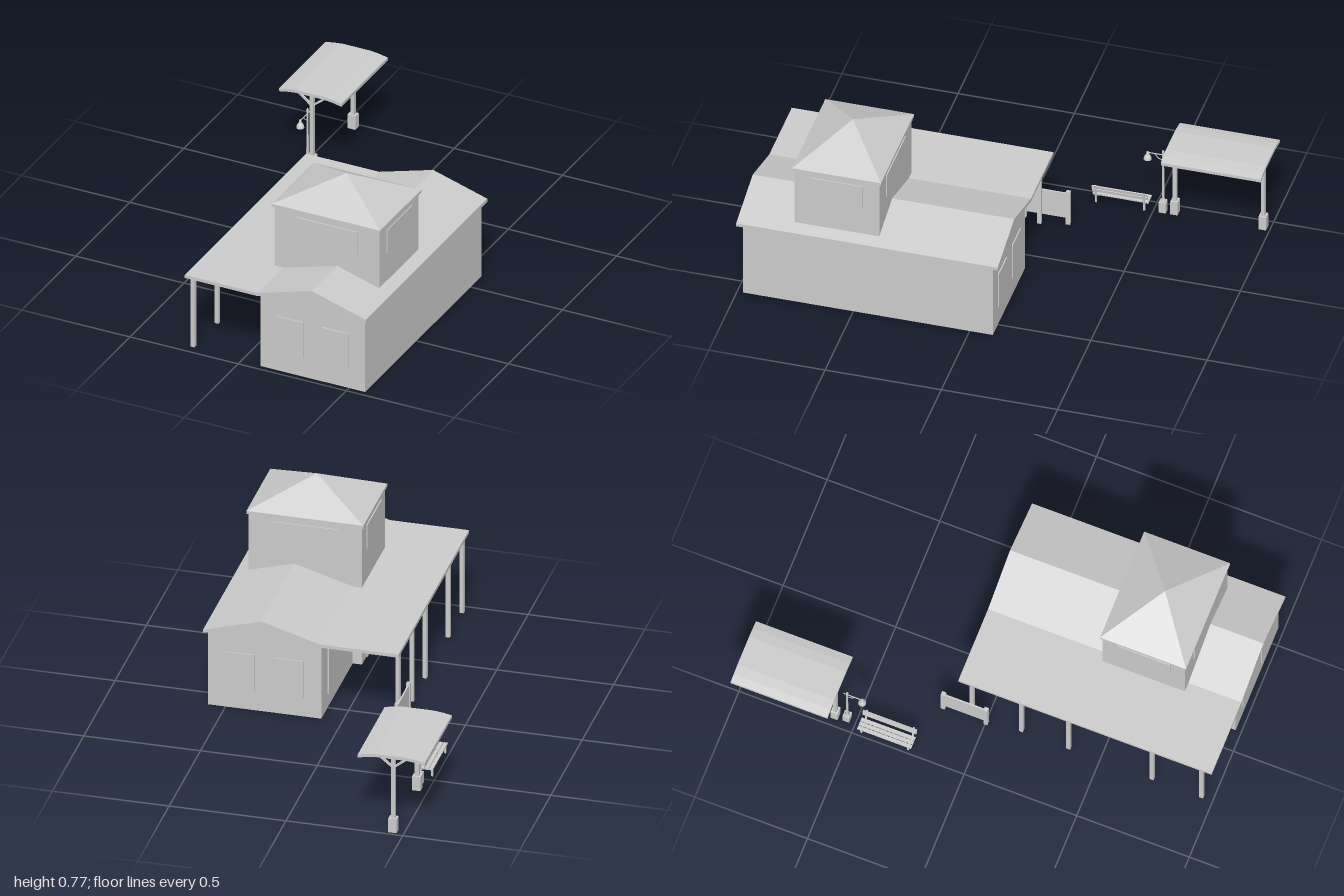
import * as THREE from 'three';

const mat = new THREE.MeshStandardMaterial({ color: 0xcccccc, flatShading: true });
const smooth = new THREE.MeshStandardMaterial({ color: 0xcccccc, side: THREE.DoubleSide });

function add(parent, name, geometry, material = mat) {
  const mesh = new THREE.Mesh(geometry, material);
  mesh.name = name;
  parent.add(mesh);
  return mesh;
}

// Box given by its minimum and maximum on each axis
function box(parent, name, x0, x1, y0, y1, z0, z1) {
  const mesh = add(parent, name, new THREE.BoxGeometry(x1 - x0, y1 - y0, z1 - z0));
  mesh.position.set((x0 + x1) / 2, (y0 + y1) / 2, (z0 + z1) / 2);
  return mesh;
}

// Outline in x and y, extruded from z0 to z1
function prism(parent, name, points, z0, z1) {
  const shape = new THREE.Shape(points.map(([x, y]) => new THREE.Vector2(x, y)));
  const geometry = new THREE.ExtrudeGeometry(shape, { depth: z1 - z0, bevelEnabled: false });
  return add(parent, name, geometry.translate(0, 0, z0));
}

// Sheet of constant thickness following a line of top points
function sheet(parent, name, top, thickness, z0, z1) {
  const under = top.map(([x, y]) => [x, y - thickness]).reverse();
  return prism(parent, name, [...under.reverse(), ...top.slice().reverse()], z0, z1);
}

function rod(parent, name, points, radius) {
  const curve = new THREE.CatmullRomCurve3(points.map(p => new THREE.Vector3(...p)));
  return add(parent, name, new THREE.TubeGeometry(curve, 12, radius, 6), smooth);
}

function group(parent, name) {
  const g = new THREE.Group();
  g.name = name;
  parent.add(g);
  return g;
}

function buildStation(root) {
  const g = group(root, 'station');
  const d = 0.005;

  // Gabled hall
  prism(g, 'hallWalls', [[0.09, 0], [0.575, 0], [0.575, 0.35], [0.34, 0.42], [0.09, 0.348]], -0.1, 0.975);
  sheet(g, 'hallRoof', [[-0.247, 0.361], [0.09, 0.361], [0.34, 0.434], [0.59, 0.361]], 0.015, -0.125, 1.0);

  // Gable windows, front and back
  for (const [x0, x1] of [[0.165, 0.29], [0.375, 0.5]]) {
    box(g, 'frontWindow', x0, x1, 0.09, 0.26, 0.97, 0.975 + d);
    box(g, 'backWindow', x0, x1, 0.09, 0.26, -0.1 - d, -0.095);
  }
  box(g, 'sideWindow', 0.09 - d, 0.1, 0.065, 0.28, 0.0, 0.27);

  // Tower, which steps out from the hall under the veranda
  box(g, 'towerWalls', 0.05, 0.535, 0, 0.643, 0.4, 0.765);
  box(g, 'towerDoor', 0.05 - d, 0.06, 0, 0.29, 0.47, 0.7);
  box(g, 'towerWindowFront', 0.15, 0.435, 0.51, 0.62, 0.76, 0.765 + d);
  box(g, 'towerWindowBack', 0.15, 0.435, 0.51, 0.62, 0.4 - d, 0.405);
  box(g, 'towerWindowRight', 0.05 - d, 0.055, 0.51, 0.62, 0.47, 0.7);
  box(g, 'towerWindowLeft', 0.53, 0.535 + d, 0.51, 0.62, 0.47, 0.7);

  // Tower roof
  box(g, 'towerEaves', 0.042, 0.543, 0.643, 0.657, 0.391, 0.773);
  const pyramid = new THREE.ConeGeometry(Math.SQRT1_2, 1, 4).rotateY(Math.PI / 4);
  const roof = add(g, 'towerRoof', pyramid.scale(0.501, 0.113, 0.382));
  roof.position.set(0.2925, 0.7135, 0.582);

  // Veranda posts
  for (const z of [-0.07, 0.15, 0.36, 0.73, 0.95]) {
    box(g, 'verandaPost', -0.24, -0.222, 0, 0.35, z - 0.009, z + 0.009);
  }
}

function buildNoticeBoard(root) {
  const g = group(root, 'noticeBoard');
  for (const z of [-0.187, 0.002]) {
    box(g, 'boardPost', -0.265, -0.248, 0, 0.165, z - 0.009, z + 0.009);
  }
  box(g, 'boardPanel', -0.26, -0.253, 0.03, 0.155, -0.18, -0.005);
}

function buildShelter(root) {
  const g = group(root, 'platformShelter');
  const cx = -0.452;

  // Shallow arched roof
  const top = [[-0.595, 0.355], [-0.56, 0.362], [-0.517, 0.367], [-0.385, 0.367], [-0.343, 0.362], [-0.307, 0.354]];
  sheet(g, 'shelterRoof', top, 0.014, -1.0, -0.57);

  for (const z of [-0.59, -0.97]) {
    box(g, 'shelterPost', cx - 0.009, cx + 0.009, 0, 0.354, z - 0.008, z + 0.008);
    box(g, 'shelterFooting', cx - 0.018, cx + 0.018, 0, 0.065, z - 0.016, z + 0.016);
    for (const side of [-1, 1]) {
      const brace = add(g, 'shelterBrace', new THREE.BoxGeometry(0.085, 0.008, 0.01));
      brace.position.set(cx + side * 0.035, 0.327, z);
      brace.rotation.z = side * 0.68;
    }
  }
}

function buildLamp(root) {
  const g = group(root, 'streetLamp');
  const x = -0.448, z = -0.54;
  box(g, 'lampBase', x - 0.015, x + 0.015, 0, 0.052, z - 0.015, z + 0.015);

  // Turned pole with a small finial
  const profile = [[0.012, 0.05], [0.011, 0.06], [0.006, 0.068], [0.005, 0.18], [0.004, 0.29], [0.006, 0.298], [0.005, 0.308], [0, 0.315]];
  const pole = add(g, 'lampPole', new THREE.LatheGeometry(profile.map(p => new THREE.Vector2(...p)), 10), smooth);
  pole.position.set(x, 0, z);

  // Arm with scroll, carrying the shade
  rod(g, 'lampArm', [[x, 0.288, z - 0.016], [x, 0.288, z + 0.03], [x, 0.288, z + 0.07]], 0.0025);
  rod(g, 'lampScroll', [[x, 0.262, z], [x, 0.268, z + 0.02], [x, 0.286, z + 0.035]], 0.002);
  const bell = [[0.017, 0.255], [0.016, 0.264], [0.011, 0.274], [0.006, 0.28], [0.005, 0.292], [0, 0.294]];
  const shade = add(g, 'lampShade', new THREE.LatheGeometry(bell.map(p => new THREE.Vector2(...p)), 16), smooth);
  shade.position.set(x, 0, -0.473);
}

function buildBench(root) {
  const g = group(root, 'bench');

  // Seat slats
  for (let i = 0; i < 3; i++) {
    const x = -0.489 + i * 0.019;
    box(g, 'seatSlat', x, x + 0.016, 0.035, 0.041, -0.48, -0.24);
  }
  // Leaning back slats
  for (const [x, y] of [[-0.426, 0.066], [-0.422, 0.084]]) {
    const slat = add(g, 'backSlat', new THREE.BoxGeometry(0.005, 0.014, 0.24));
    slat.position.set(x, y, -0.36);
    slat.rotation.z = -0.2;
  }
  // End frames
  for (const z of [-0.255, -0.463]) {
    box(g, 'frontLeg', -0.486, -0.478, 0, 0.036, z - 0.004, z + 0.004);
    box(g, 'backLeg', -0.438, -0.43, 0, 0.036, z - 0.004, z + 0.004);
    box(g, 'seatRail', -0.486, -0.43, 0.027, 0.035, z - 0.004, z + 0.004);
    const upright = add(g, 'backUpright', new THREE.BoxGeometry(0.006, 0.066, 0.008));
    upright.position.set(-0.424, 0.062, z);
    upright.rotation.z = -0.2;
  }
}

export function createModel() {
  const root = new THREE.Group();
  root.name = 'railwayStation';
  buildStation(root);
  buildNoticeBoard(root);
  buildShelter(root);
  buildLamp(root);
  buildBench(root);
  return root;
}
